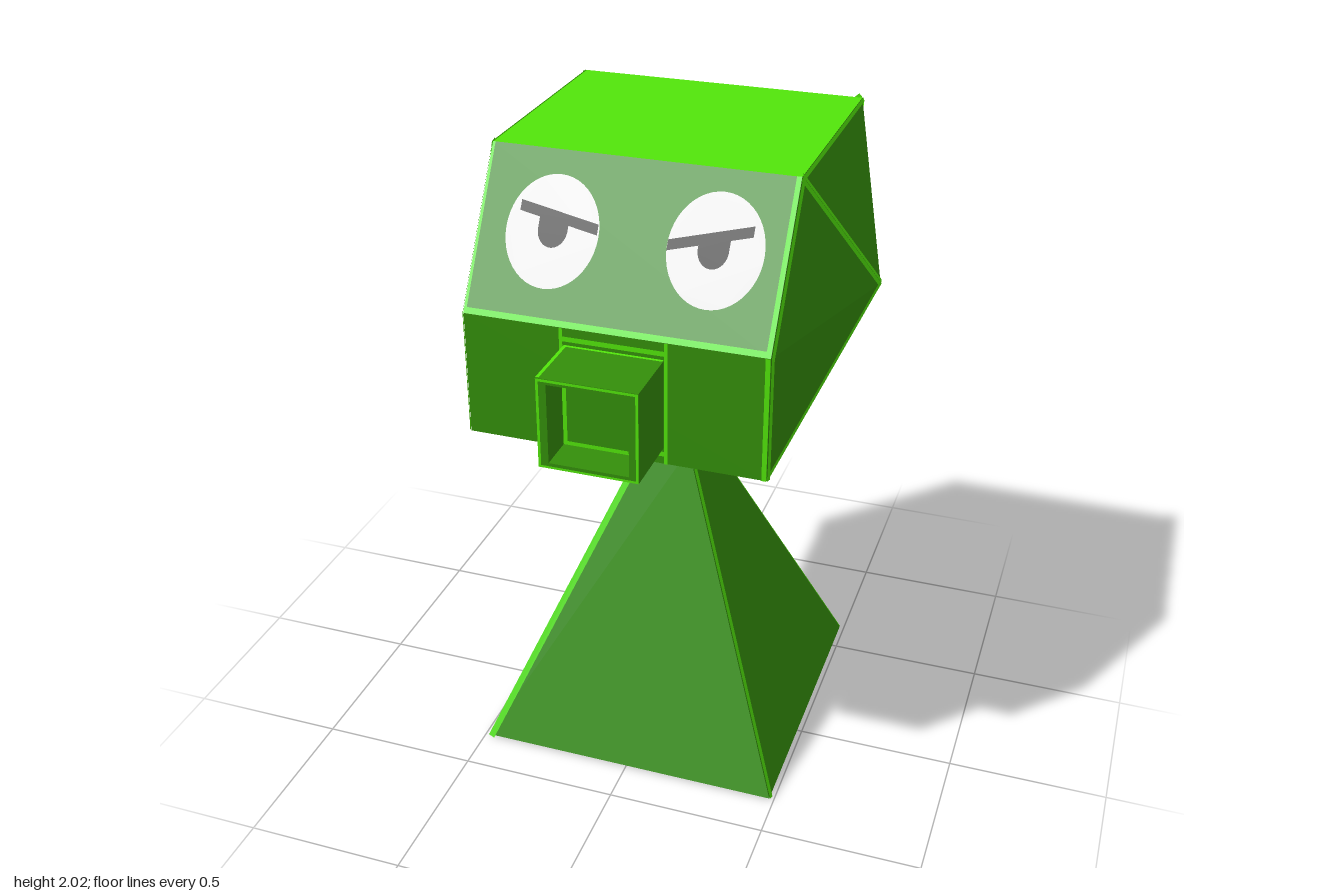
import * as THREE from 'three';

const V = (x, y, z) => new THREE.Vector3(x, y, z);

export function createModel() {
  const std = (name, color, side = THREE.FrontSide) => {
    const m = new THREE.MeshStandardMaterial({ color, side });
    m.name = name;
    return m;
  };
  const green = std('leafGreen', 0x348f0a);
  const bright = std('brightGreen', 0x52e60a, THREE.DoubleSide);
  const white = std('eyeWhite', 0xffffff, THREE.DoubleSide);
  const black = std('black', 0x020202, THREE.DoubleSide);

  const root = new THREE.Group();
  root.name = 'figure';
  const part = (name) => {
    const g = new THREE.Group();
    g.name = name;
    root.add(g);
    return g;
  };
  const add = (parent, name, geo, mat) => {
    const m = new THREE.Mesh(geo, mat);
    m.name = name;
    parent.add(m);
    return m;
  };

  // flat-faced surface from convex polygons, corners counter-clockwise
  const faces = (polys) => {
    const pts = [];
    for (const p of polys)
      for (let i = 1; i < p.length - 1; i++) pts.push(p[0], p[i], p[i + 1]);
    const g = new THREE.BufferGeometry().setFromPoints(pts);
    g.computeVertexNormals();
    return g;
  };
  // thin trim along edge a-b, inset toward c; a, b, c counter-clockwise
  const strip = (parent, a, b, c, w) => {
    const d = b.clone().sub(a).normalize();
    const n = d.clone().cross(c.clone().sub(a)).normalize();
    const inset = n.clone().cross(d).multiplyScalar(w);
    const lift = n.multiplyScalar(0.003);
    const q = [a, b, b.clone().add(inset), a.clone().add(inset)].map((p) => p.clone().add(lift));
    return add(parent, 'edgeTrim', faces([q]), bright);
  };
  // square frustum
  const frustum = (top, bottom, h) => {
    const g = new THREE.CylinderGeometry(top * Math.SQRT2, bottom * Math.SQRT2, h, 4, 1).toNonIndexed();
    g.rotateY(Math.PI / 4);
    g.translate(0, h / 2, 0);
    g.computeVertexNormals();
    return g;
  };

  // body and neck, each with trims on its four sides
  const tower = (name, top, bottom, y, h, w, mirroredFront) => {
    const g = part(name);
    g.position.set(0, y, -0.127);
    add(g, name + 'Block', frustum(top, bottom, h), green);
    const tl = V(-top, h, top), tr = V(top, h, top);
    const bl = V(-bottom, 0, bottom), br = V(bottom, 0, bottom);
    for (let k = 0; k < 4; k++) {
      const side = new THREE.Group();
      side.name = name + 'Side';
      side.rotation.y = (k * Math.PI) / 2;
      g.add(side);
      if (mirroredFront && k === 0) {
        strip(side, br, tr, tl, w);
        continue;
      }
      strip(side, tl, bl, br, w);
      strip(side, tr, tl, bl, 0.014);
    }
  };
  tower('body', 0.075, 0.486, 0, 0.98, 0.021, false);
  tower('neck', 0.117, 0.015, 0.97, 0.23, 0.016, true);

  // head: extruded profile with a pointed cheek on each side
  const head = part('head');
  const X = 0.45;
  const profile = [[2, 0.15], [1.58, 0.41], [1.2, 0.41], [1.2, -0.58], [2, -0.58]];
  const L = profile.map(([y, z]) => V(X, y, z));
  const R = profile.map(([y, z]) => V(-X, y, z));
  const shell = [];
  for (let i = 0; i < 4; i++) shell.push([R[i], R[i + 1], L[i + 1], L[i]]);
  add(head, 'headShell', faces(shell), green);
  add(head, 'headTop', faces([[R[4], R[0], L[0], L[4]]]), bright);
  for (const s of [1, -1]) {
    const C = s > 0 ? L : R;
    const tip = V(0.63 * s, 1.6, -0.13);
    const tri = (a, b, c) => (s > 0 ? [a, b, c] : [b, a, c]);
    const cheek = C.map((p, i) => tri(p, C[(i + 1) % 5], tip));
    add(head, s > 0 ? 'leftCheek' : 'rightCheek', faces(cheek), green);
    const trim = (a, b, c, w) => strip(head, ...tri(a, b, c), w);
    // ridges to the cheek tip
    trim(C[0], tip, C[4], 0.013);
    trim(tip, C[0], C[1], 0.013);
    trim(C[2], tip, C[1], 0.013);
    trim(C[3], tip, C[2], 0.02);
    if (s < 0) trim(C[4], tip, C[3], 0.02);
    // cheek outline
    trim(C[1], C[2], tip, 0.014);
    trim(C[0], C[1], tip, 0.014);
    trim(C[4], C[0], tip, 0.012);
    trim(C[3], C[4], tip, 0.014);
  }

  // face trims
  strip(head, R[1], L[1], L[0], 0.018);
  strip(head, L[1], L[0], R[0], 0.014);
  strip(head, L[2], L[1], R[1], 0.014);
  strip(head, R[0], R[1], L[1], 0.008);
  // back trims: left edge and a sideways V
  const mid = V(0, 1.6, -0.58);
  strip(head, L[4], L[3], R[3], 0.016);
  strip(head, L[4], mid, R[4], 0.016);
  strip(head, mid, L[3], R[3], 0.016);

  // eyes: flat plates laid on the sloping forehead
  const onSlope = (name, shape, lift, mat) => {
    const g = new THREE.ShapeGeometry(shape, 24);
    const p = g.attributes.position;
    for (let i = 0; i < p.count; i++) p.setZ(i, 0.15 + ((2 - p.getY(i)) * 0.26) / 0.42 + lift);
    g.computeVertexNormals();
    add(head, name, g, mat);
  };
  const disc = (x, y, r) => new THREE.Shape().absarc(x, y, r, 0, Math.PI * 2);
  const halfDisc = (x, y, r, top) =>
    new THREE.Shape().moveTo(x - r, y).absarc(x, y, r, Math.PI, Math.PI * 2).lineTo(x + r, top).lineTo(x - r, top);
  const line = (x0, y0, x1, y1, t) =>
    new THREE.Shape([[x0, y0 - t], [x1, y1 - t], [x1, y1 + t], [x0, y0 + t]].map(([x, y]) => new THREE.Vector2(x, y)));
  onSlope('rightEyeWhite', disc(-0.227, 1.804, 0.138), 0.004, white);
  onSlope('rightPupil', halfDisc(-0.225, 1.81, 0.044, 1.84), 0.007, black);
  onSlope('rightBrow', line(-0.33, 1.86, -0.093, 1.823, 0.013), 0.009, black);
  onSlope('leftEyeWhite', disc(0.248, 1.809, 0.138), 0.004, white);
  onSlope('leftPupil', halfDisc(0.243, 1.81, 0.044, 1.84), 0.007, black);
  onSlope('leftBrow', line(0.112, 1.81, 0.348, 1.865, 0.013), 0.009, black);

  // snout: square tube with a recessed floor
  const snout = part('snout');
  const rect = (hx, y0, y1) =>
    [[-hx, y0], [hx, y0], [hx, y1], [-hx, y1]].map(([x, y]) => new THREE.Vector2(x, y));
  const ring = (outer, inner) => {
    const s = new THREE.Shape(outer);
    s.holes.push(new THREE.Path(inner));
    return s;
  };
  const tube = new THREE.ExtrudeGeometry(ring(rect(0.147, 1.25, 1.525), rect(0.118, 1.265, 1.508)), {
    depth: 0.21, bevelEnabled: false,
  });
  tube.translate(0, 0, 0.405);
  add(snout, 'snoutTube', tube, green);
  const flat = (name, shape, z, mat) => {
    const g = new THREE.ShapeGeometry(shape);
    g.translate(0, 0, z);
    add(snout, name, g, mat);
  };
  flat('snoutFloor', new THREE.Shape(rect(0.118, 1.265, 1.508)), 0.5, green);
  flat('floorTrim', ring(rect(0.118, 1.265, 1.508), rect(0.106, 1.277, 1.496)), 0.503, bright);
  flat('rimTrim', ring(rect(0.147, 1.25, 1.525), rect(0.139, 1.257, 1.517)), 0.618, bright);
  flat('baseTrim', ring(rect(0.16, 1.225, 1.555), rect(0.15, 1.24, 1.54)), 0.413, bright);
  // upright trims beside the snout
  for (const x of [-0.16, 0.15])
    strip(snout, V(x, 1.58, 0.41), V(x, 1.2, 0.41), V(x + 0.1, 1.2, 0.41), 0.01);
  // trims on top of the snout
  const sa = V(-0.147, 1.525, 0.41), sb = V(-0.147, 1.525, 0.615), sc = V(0.147, 1.525, 0.41);
  strip(snout, sa, sb, sc, 0.01);
  strip(snout, sc, sa, sb, 0.01);

  return root;
}
